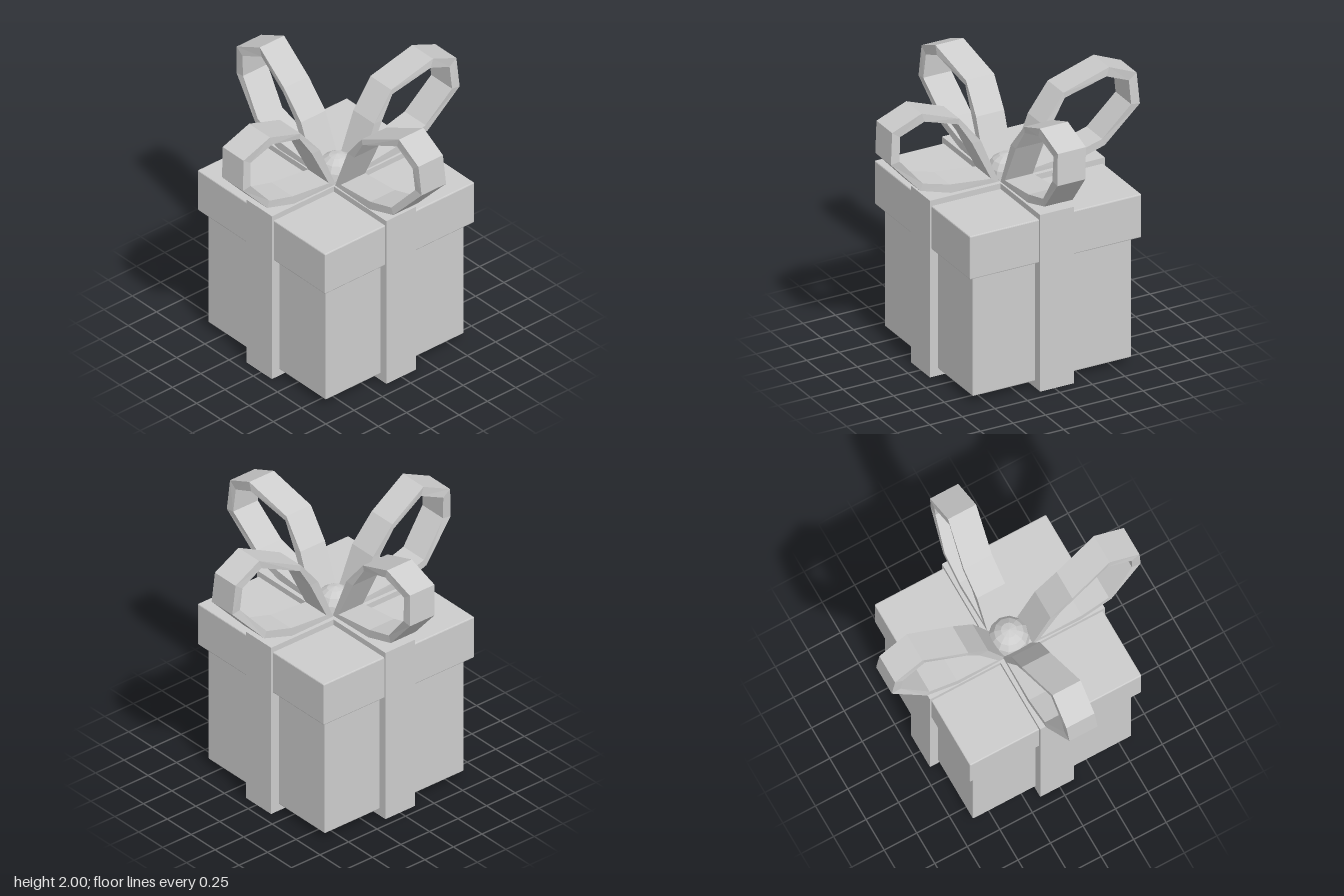
import * as THREE from 'three';
import { RoundedBoxGeometry } from 'three/addons/geometries/RoundedBoxGeometry.js';

// Bow loop stations: outer (u, y), inner (u, y), sideways sway
const LOOP = [
  [0.10, 1.31, 0.165, 1.36, -0.01],
  [0.24, 1.66, 0.31, 1.66, -0.015],
  [0.40, 1.86, 0.41, 1.82, -0.027],
  [0.72, 2.00, 0.70, 1.935, 0.03],
  [0.94, 1.90, 0.88, 1.855, 0.014],
  [0.957, 1.67, 0.89, 1.68, 0.028],
  [0.71, 1.40, 0.69, 1.45, -0.012],
  [0.47, 1.325, 0.48, 1.39, -0.017],
];
const HALF_WIDTH = 0.108;

// Closed ring of rectangular cross-sections, pointing to +x (side 1) or -x (side -1)
function loopGeometry(side) {
  const pos = [];
  const idx = [];
  for (const [ou, oy, iu, iy, sway] of LOOP) {
    const front = -sway + HALF_WIDTH;
    const back = -sway - HALF_WIDTH;
    pos.push(side * ou, oy, front, side * ou, oy, back);
    pos.push(side * iu, iy, back, side * iu, iy, front);
  }
  const n = LOOP.length;
  for (let i = 0; i < n; i++) {
    const j = (i + 1) % n;
    for (let k = 0; k < 4; k++) {
      const l = (k + 1) % 4;
      const a = i * 4 + k, b = j * 4 + k, c = j * 4 + l, d = i * 4 + l;
      if (side > 0) idx.push(a, b, c, a, c, d);
      else idx.push(a, c, b, a, d, c);
    }
  }
  const indexed = new THREE.BufferGeometry();
  indexed.setAttribute('position', new THREE.Float32BufferAttribute(pos, 3));
  indexed.setIndex(idx);
  const geometry = indexed.toNonIndexed();
  geometry.computeVertexNormals();
  return geometry;
}

export function createModel() {
  const model = new THREE.Group();
  model.name = 'giftBox';
  const grey = new THREE.MeshStandardMaterial({ color: 0xcccccc, flatShading: true });
  grey.name = 'light grey';

  const add = (name, geometry, x = 0, y = 0, z = 0) => {
    const mesh = new THREE.Mesh(geometry, grey);
    mesh.name = name;
    mesh.position.set(x, y, z);
    model.add(mesh);
    return mesh;
  };

  // Box and overhanging lid with finely bevelled edges
  const cx = -0.02;
  add('boxBody', new RoundedBoxGeometry(1.22, 0.93, 1.22, 1, 0.008), cx, 0.515, 0.003);
  add('lid', new RoundedBoxGeometry(1.32, 0.325, 1.32, 1, 0.008), cx, 1.1205, 0.002);

  // Two straight ribbon bands crossing over top and bottom
  add('ribbonAcross', new THREE.BoxGeometry(1.345, 1.325, 0.26), cx, 0.6625, 0.002);
  add('ribbonFrontToBack', new THREE.BoxGeometry(0.26, 1.325, 1.355), cx, 0.6625, 0.002);

  // Four bow loops: a mirrored pair, repeated at a quarter turn
  for (const side of [1, -1]) {
    const geometry = loopGeometry(side);
    add(side > 0 ? 'bowLoopLeft' : 'bowLoopRight', geometry);
    add(side > 0 ? 'bowLoopFront' : 'bowLoopBack', geometry).rotation.y = -Math.PI / 2;
  }

  // Faceted centre knot
  add('bowKnot', new THREE.SphereGeometry(0.142, 12, 8), -0.012, 1.33, 0);

  return model;
}
